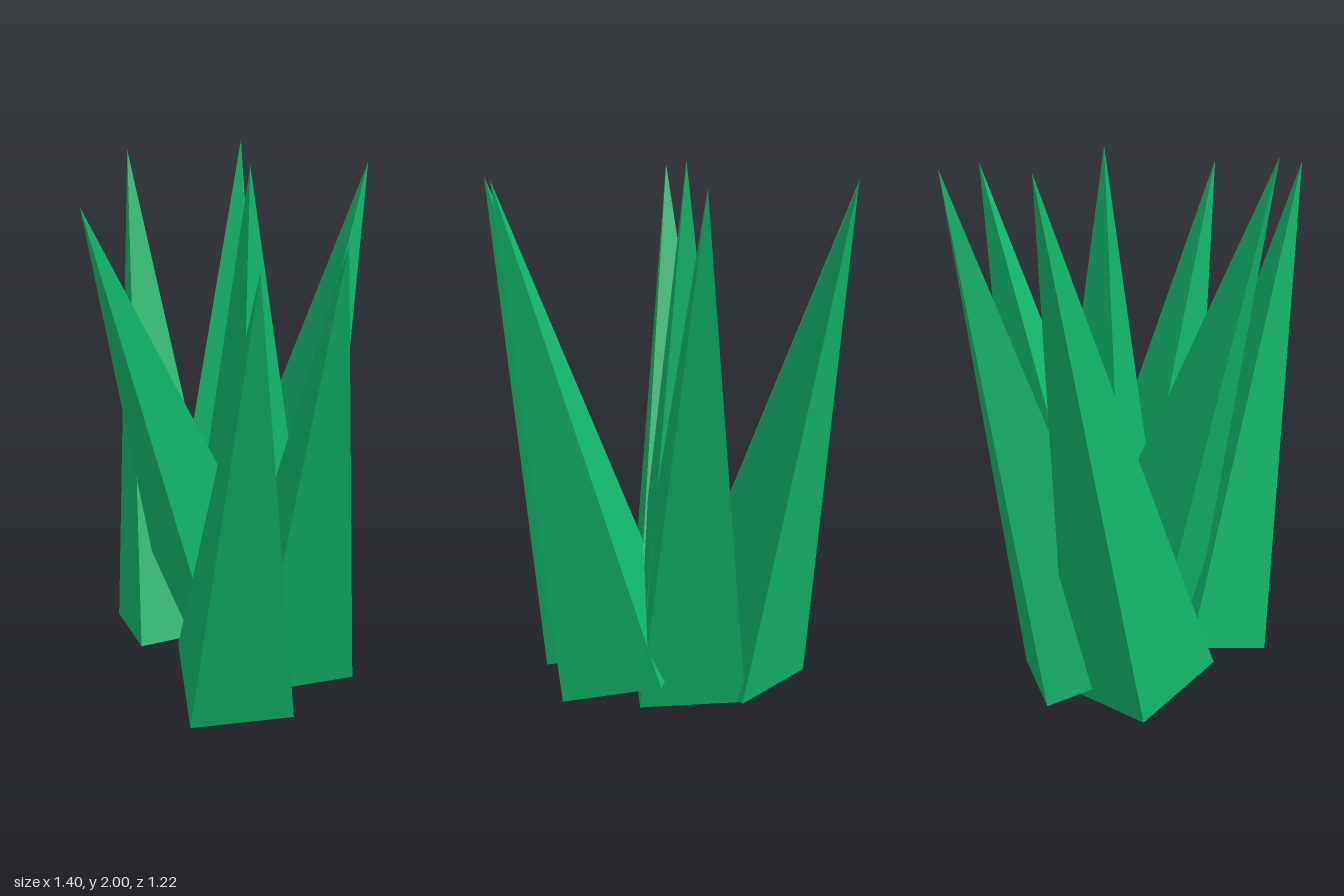
import * as THREE from 'three';

const material = new THREE.MeshStandardMaterial({ color: 0x11b56b, flatShading: true });

// Four-sided spike from the middle of its square base to its tip;
// the base edges across the lean stay level.
function spike(name, base, tip) {
  const from = new THREE.Vector3(...base);
  const to = new THREE.Vector3(...tip);
  const height = from.distanceTo(to);
  const geometry = new THREE.ConeGeometry(0.2 * Math.SQRT2, height, 4, 1);
  geometry.rotateY(Math.PI / 4);
  geometry.translate(0, height / 2, 0);
  geometry.rotateX(Math.PI / 2); // tip along +z, ready for lookAt
  const mesh = new THREE.Mesh(geometry, material);
  mesh.name = name;
  mesh.position.copy(from);
  mesh.lookAt(to);
  return mesh;
}

export function createModel() {
  const group = new THREE.Group();
  group.name = 'grassTuft';

  // name, base centre, tip
  const blades = [
    ['centreBlade', [-0.035, 0.05, -0.065], [-0.035, 2.0, -0.065]],
    ['frontBlade', [-0.035, 0.11, 0.025], [-0.035, 1.97, 0.61]],
    ['backBlade', [-0.035, 0.052, -0.108], [-0.035, 1.93, -0.61]],
    ['frontLeftBlade', [0.245, 0.055, 0.205], [0.7, 1.93, 0.43]],
    ['backLeftBlade', [0.2, 0.055, -0.11], [0.665, 1.93, 0.07]],
    ['frontRightBlade', [-0.22, 0.055, 0.18], [-0.7, 1.93, 0.04]],
    ['backRightBlade', [-0.235, 0.055, -0.045], [-0.575, 1.93, -0.41]],
  ];
  for (const [name, base, tip] of blades) group.add(spike(name, base, tip));
  return group;
}
